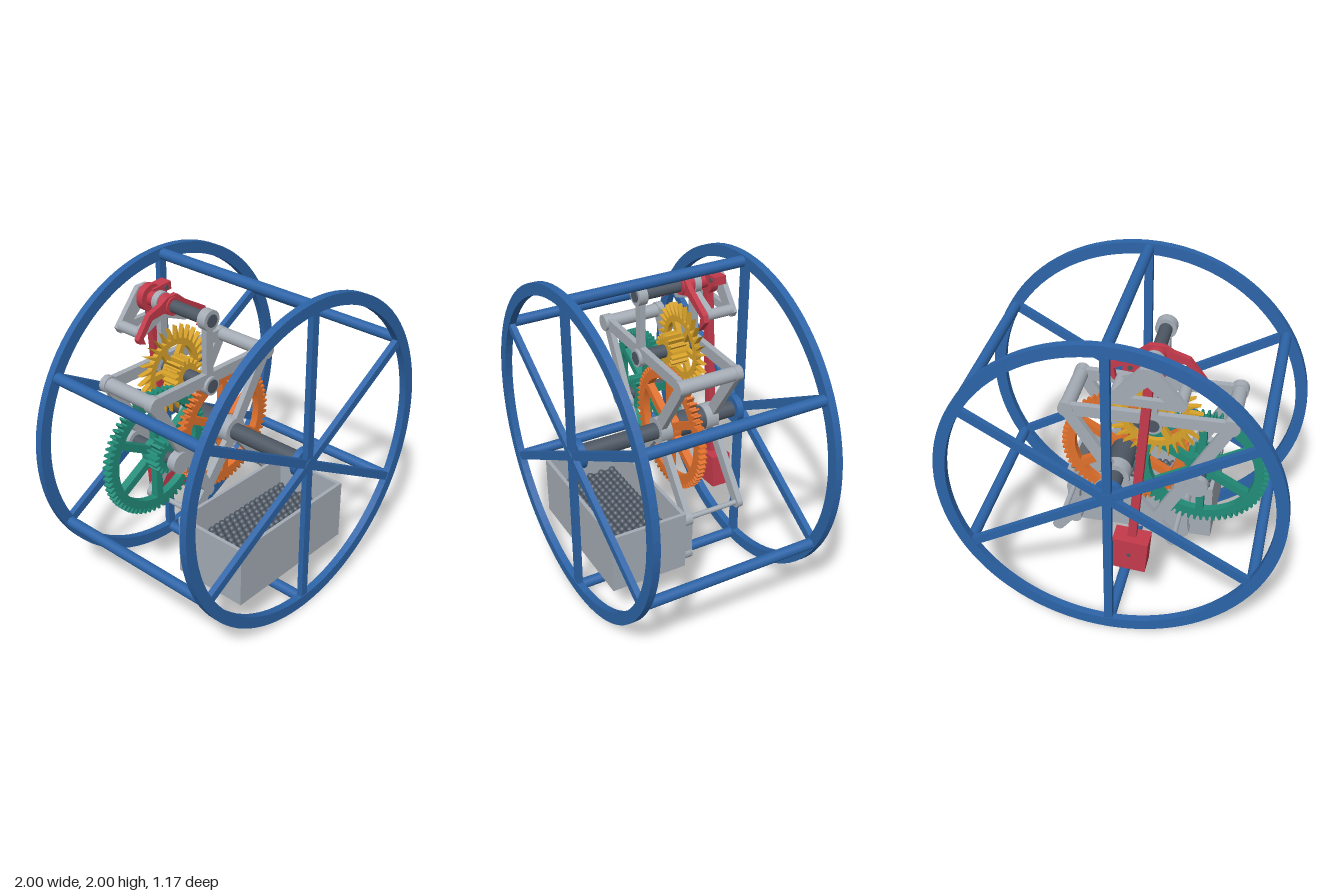
import * as THREE from 'three';

const mat = (name, color, side = THREE.FrontSide) => {
  const m = new THREE.MeshStandardMaterial({ color, side });
  m.name = name;
  return m;
};
const BLUE = mat('blue', 0x2c64a8), GREY = mat('light grey', 0xa5acb5), DARK = mat('slate', 0x4d5763),
  ORANGE = mat('orange', 0xe0702c), GREEN = mat('green', 0x228c78), YELLOW = mat('yellow', 0xd9a32a),
  RED = mat('red', 0xc43a4b);

export function createModel() {
  const root = new THREE.Group();
  const group = (name, parent = root) => {
    const g = new THREE.Group();
    g.name = name;
    parent.add(g);
    return g;
  };
  const add = (parent, name, geo, material) => {
    const m = new THREE.Mesh(geo, material);
    m.name = name;
    parent.add(m);
    return m;
  };
  // Round rod along z between z0 and z1
  const rod = (parent, name, x, y, r, z0, z1, material, sides = 28) => {
    const geo = new THREE.CylinderGeometry(r, r, Math.abs(z1 - z0), sides).rotateX(Math.PI / 2);
    add(parent, name, geo, material).position.set(x, y, (z0 + z1) / 2);
  };
  const box = (parent, name, w, h, d, x, y, z, material) => {
    const m = add(parent, name, new THREE.BoxGeometry(w, h, d), material);
    m.position.set(x, y, z);
    return m;
  };
  // Flat outline extruded from z0 to z1
  const slab = (parent, name, shape, z0, z1, material, x = 0, y = 0) => {
    const geo = new THREE.ExtrudeGeometry(shape, { depth: z1 - z0, bevelEnabled: false, curveSegments: 48 });
    add(parent, name, geo, material).position.set(x, y, z0);
  };
  // Straight bar with round ends from a to b
  const bar = (parent, name, a, b, r, z0, z1, material) => {
    const L = Math.hypot(b[0] - a[0], b[1] - a[1]);
    const s = new THREE.Shape();
    s.absarc(0, 0, r, Math.PI / 2, Math.PI * 1.5, false);
    s.absarc(L, 0, r, -Math.PI / 2, Math.PI / 2, false);
    const geo = new THREE.ExtrudeGeometry(s, { depth: z1 - z0, bevelEnabled: false, curveSegments: 10 });
    const m = add(parent, name, geo, material);
    m.position.set(a[0], a[1], z0);
    m.rotation.z = Math.atan2(b[1] - a[1], b[0] - a[0]);
  };
  const polar = (r, a) => new THREE.Vector2(r * Math.cos(a), r * Math.sin(a));
  const poly = pts => new THREE.Shape(pts.map(p => new THREE.Vector2(p[0], p[1])));

  // Toothed outline; tooth lists [fraction of pitch, radius]; spoke windows optional
  const gearShape = (n, tooth, windows) => {
    const pts = [];
    for (let i = 0; i < n; i++)
      for (const [f, r] of tooth) pts.push(polar(r, (i + f) / n * Math.PI * 2));
    const s = new THREE.Shape(pts);
    if (windows) {
      const { hub, rim, width, phase } = windows;
      for (let i = 0; i < 6; i++) {
        const a0 = phase + i * Math.PI / 3, a1 = a0 + Math.PI / 3;
        const o = Math.asin(width / 2 / rim), h = Math.asin(width / 2 / hub);
        const hole = new THREE.Path();
        hole.absarc(0, 0, rim, a0 + o, a1 - o, false);
        hole.absarc(0, 0, hub, a1 - h, a0 + h, true);
        s.holes.push(hole);
      }
    }
    return s;
  };
  const spur = (root, tip) => [[0, root], [0.3, root], [0.5, tip], [0.8, tip]];

  // Blue cage: two spoked wheels joined by six rods
  const cage = group('cage');
  for (const side of [1, -1]) {
    const wheel = group(side > 0 ? 'frontWheel' : 'backWheel', cage);
    const ring = new THREE.Shape().absarc(0, 0, 1, 0, Math.PI * 2, false);
    ring.holes.push(new THREE.Path().absarc(0, 0, 0.93, 0, Math.PI * 2, true));
    const z = side * 0.5625;
    slab(wheel, 'rim', ring, z - 0.0225, z + 0.0225, BLUE, 0, 1);
    for (let i = 0; i < 3; i++)
      box(wheel, 'spokes', 0.05, 1.88, 0.036, 0, 1, z, BLUE).rotation.z = i * Math.PI / 3;
    rod(wheel, 'hub', 0, 1, 0.088, side * 0.505, side * 0.545, BLUE);
    rod(wheel, 'axleCap', 0, 1, 0.042, side * 0.54, side * 0.585, BLUE);
  }
  for (let i = 0; i < 6; i++) {
    const p = polar(0.962, Math.PI / 6 + i * Math.PI / 3);
    rod(cage, 'crossRod', p.x, p.y + 1, 0.033, -0.545, 0.545, BLUE);
  }

  // Main axle with drum
  rod(root, 'mainAxle', 0, 1, 0.05, 0.51, -0.51, DARK);
  rod(root, 'drum', 0, 1, 0.076, -0.11, -0.29, DARK);

  // Front and back frame plates
  const frame = group('frame');
  const TL = [-0.635, 1.435], TR = [0.275, 1.425], HUB = [0, 1], TOP = [-0.21, 1.79],
    ESC = [-0.21, 1.39], MID = [-0.465, 1], FL = [-0.34, 0.575], FR = [0.345, 0.575];
  for (const z of [0, -0.352]) {
    const plate = group(z ? 'backPlate' : 'frontPlate', frame);
    const strut = (name, a, b, r = 0.035) => bar(plate, name, a, b, r, z - 0.018, z + 0.018, GREY);
    strut('topBar', TL, TR);
    strut('upright', [-0.21, 1.43], TOP, 0.026);
    strut('leftStrut', TL, [-0.22, 0.69]);
    strut('rightStrut', TR, HUB);
    strut('leftLeg', HUB, FL);
    strut('rightLeg', HUB, FR);
    strut('gearSupport', MID, [-0.39, 1], 0.05);
    for (const [p, r] of [[TL, 0.05], [TR, 0.045], [TOP, 0.06], [ESC, 0.055], [MID, 0.065]])
      rod(plate, 'boss', p[0], p[1], r, z - 0.02, z + (z ? 0.02 : 0.036), GREY);
    rod(plate, 'axleBearing', 0, 1, 0.082, z - (z ? 0.02 : 0.055), z + (z ? 0.06 : 0.02), GREY);
  }
  for (const p of [TL, TR]) rod(frame, 'pillar', p[0], p[1], 0.042, 0.03, -0.36, GREY);
  for (const p of [FL, FR]) {
    rod(frame, 'footRod', p[0], p[1], 0.016, 0.02, -0.36, GREY);
    bar(frame, 'hanger', p, [p[0], 0.335], 0.036, -0.018, 0.025, GREY);
    for (const y of [p[1], 0.335]) rod(frame, 'hangerBoss', p[0], y, 0.044, -0.02, 0.04, GREY);
  }

  // Rear bracket holding the pendulum shaft
  const bracket = group('rearBracket', frame);
  const tri = poly([[-0.25, 1.85], [-0.42, 1.65], [-0.4, 1.615], [-0.02, 1.615], [0, 1.65], [-0.17, 1.85]]);
  tri.holes.push(new THREE.Path([[-0.21, 1.745], [-0.12, 1.665], [-0.3, 1.665]].map(p => new THREE.Vector2(...p))));
  slab(bracket, 'bracketPlate', tri, -0.522, -0.49, GREY);
  for (const x of [-0.385, -0.035]) {
    bar(bracket, 'bracketArm', [-0.21, 1.73], [x, 1.655], 0.03, -0.37, -0.334, GREY);
    rod(bracket, 'bracketPost', x, 1.655, 0.032, -0.35, -0.5, GREY);
  }

  // Gear train
  const train = group('gearTrain');
  slab(train, 'driveGear', gearShape(64, spur(0.35, 0.38), { hub: 0.085, rim: 0.3, width: 0.045, phase: Math.PI / 6 }),
    -0.108, -0.062, ORANGE, ...HUB);
  slab(train, 'middleGear', gearShape(64, spur(0.355, 0.387), { hub: 0.085, rim: 0.305, width: 0.045, phase: Math.PI / 6 }),
    -0.2, -0.152, GREEN, ...MID);
  slab(train, 'middlePinion', gearShape(16, spur(0.075, 0.105)), -0.155, -0.07, GREEN, ...MID);
  slab(train, 'escapeWheel',
    gearShape(30, [[0, 0.19], [0.45, 0.195], [1.05, 0.27], [0.95, 0.19]].map(([f, r]) => [f, r]),
      { hub: 0.07, rim: 0.155, width: 0.035, phase: 0 }), -0.292, -0.26, YELLOW, ...ESC);
  slab(train, 'escapePinion', gearShape(16, spur(0.075, 0.103)), -0.262, -0.155, YELLOW, ...ESC);
  rod(train, 'middleShaft', ...MID, 0.038, 0.01, -0.365, DARK);
  rod(train, 'escapeShaft', ...ESC, 0.04, 0.04, -0.375, DARK);

  // Pallet fork, pendulum and their shaft
  rod(root, 'pendulumShaft', ...TOP, 0.037, 0.042, -0.515, DARK);
  const pendulum = group('pendulum');
  const anchor = poly([[-0.25, 1.85], [-0.3, 1.82], [-0.39, 1.79], [-0.48, 1.67], [-0.47, 1.645], [-0.425, 1.63],
    [-0.44, 1.67], [-0.37, 1.755], [-0.28, 1.765], [-0.21, 1.73], [-0.13, 1.755], [0.02, 1.68], [0.005, 1.59],
    [0.065, 1.665], [0.05, 1.705], [-0.11, 1.8], [-0.17, 1.85]]);
  slab(pendulum, 'palletFork', anchor, -0.292, -0.26, RED);
  rod(pendulum, 'palletHub', ...TOP, 0.055, -0.25, -0.33, RED);
  rod(pendulum, 'pendulumSleeve', ...TOP, 0.045, -0.37, -0.49, RED);
  const swing = group('swingArm', pendulum);
  swing.position.set(TOP[0], TOP[1], -0.447);
  swing.rotation.z = 0.08;
  rod(swing, 'armHead', 0, 0, 0.08, -0.023, 0.023, RED);
  box(swing, 'pendulumRod', 0.05, 1.25, 0.044, 0, -0.62, 0, RED);
  box(swing, 'clamp', 0.14, 0.05, 0.075, 0.07, 0.03, 0, RED);
  rod(swing, 'clampScrew', 0.1, 0.03, 0.014, -0.044, 0.044, DARK, 12);
  box(swing, 'bob', 0.21, 0.21, 0.125, 0, -1.245, -0.01, RED);
  box(swing, 'bobTip', 0.05, 0.04, 0.044, 0, -1.35, 0, RED);
  rod(swing, 'bobScrew', 0, -1.24, 0.012, -0.076, -0.07, DARK, 12);

  // Open weight box filled with balls
  const weight = group('weightBox');
  const X = -0.055, Z = 0.28, W = 0.914, D = 0.48, T = 0.022, Y0 = 0.275, Y1 = 0.655;
  box(weight, 'floor', W, T, D, X, Y0 + T / 2, Z, GREY);
  for (const s of [1, -1]) {
    box(weight, 'longWall', W, Y1 - Y0, T, X, (Y0 + Y1) / 2, Z + s * (D - T) / 2, GREY);
    box(weight, 'endWall', T, Y1 - Y0, D - 2 * T, X + s * (W - T) / 2, (Y0 + Y1) / 2, Z, GREY);
  }
  box(weight, 'ballBed', W - 2 * T, 0.16, D - 2 * T, X, 0.375, Z, DARK);
  const r = 0.0222, ball = new THREE.SphereGeometry(r, 12, 8);
  for (let row = 0; row < 11; row++)
    for (let c = 0; c < 19 - row % 2; c++)
      add(weight, 'ball', ball, DARK).position.set(
        X + (c - 9 + (row % 2) / 2) * r * 2.05, 0.465, Z + (row - 5) * r * 1.74);

  return root;
}
